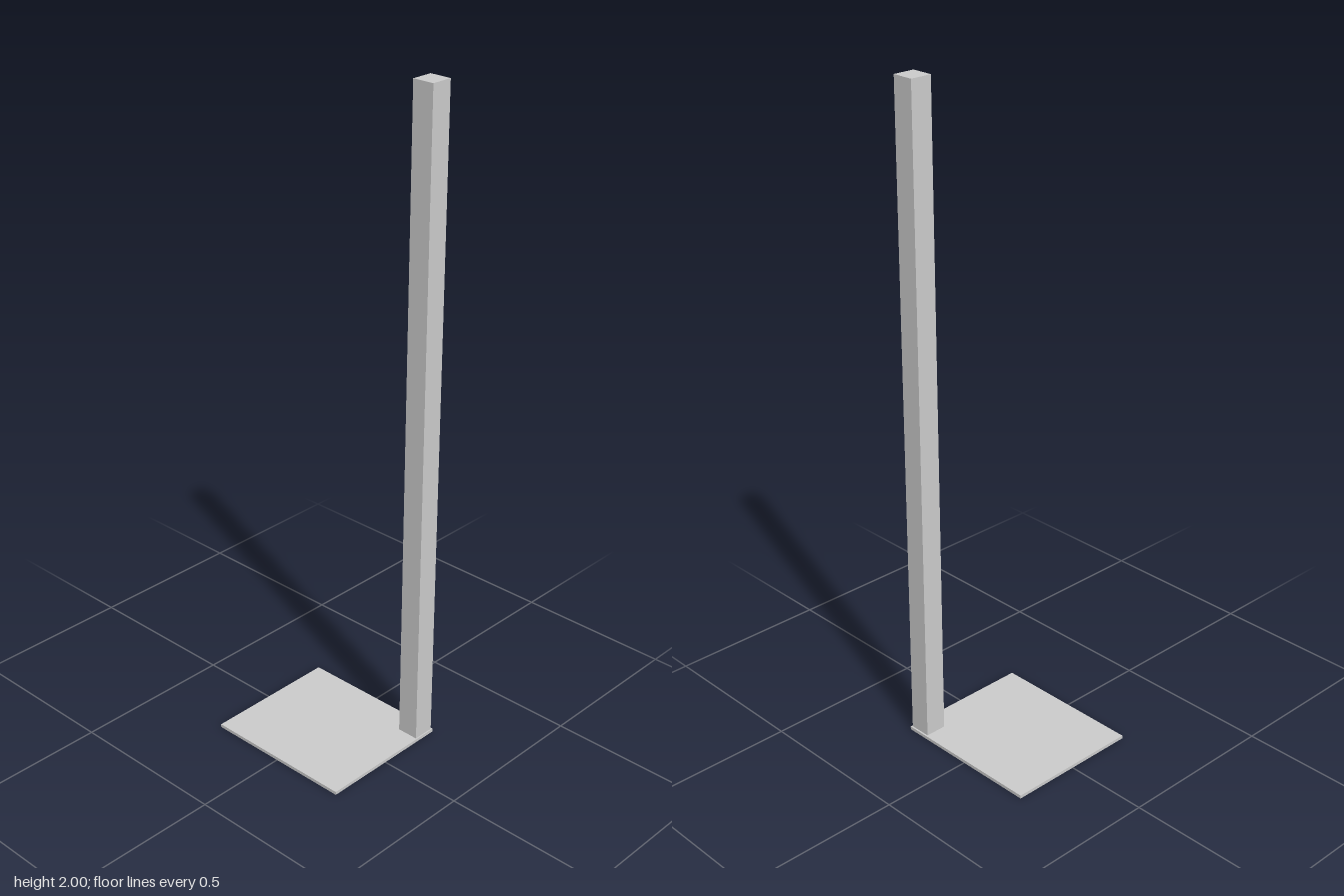
import * as THREE from 'three';

export function createModel() {
  const model = new THREE.Group();
  model.name = 'postOnBasePlate';
  const material = new THREE.MeshStandardMaterial({ color: 0xcccccc });

  // Adds a box whose underside sits at the given height
  const addBox = (name, [w, h, d], [x, bottom, z]) => {
    const mesh = new THREE.Mesh(new THREE.BoxGeometry(w, h, d), material);
    mesh.name = name;
    mesh.position.set(x, bottom + h / 2, z);
    model.add(mesh);
  };

  const plateThickness = 0.01;
  const postSide = 0.067;

  // Thin rectangular plate on the ground
  addBox('basePlate', [0.476, plateThickness, 0.424], [0, 0, 0]);

  // Tall square post near the back left corner, standing on the plate
  addBox('post', [postSide, 2 - plateThickness, postSide], [0.201, plateThickness, -0.173]);

  return model;
}
